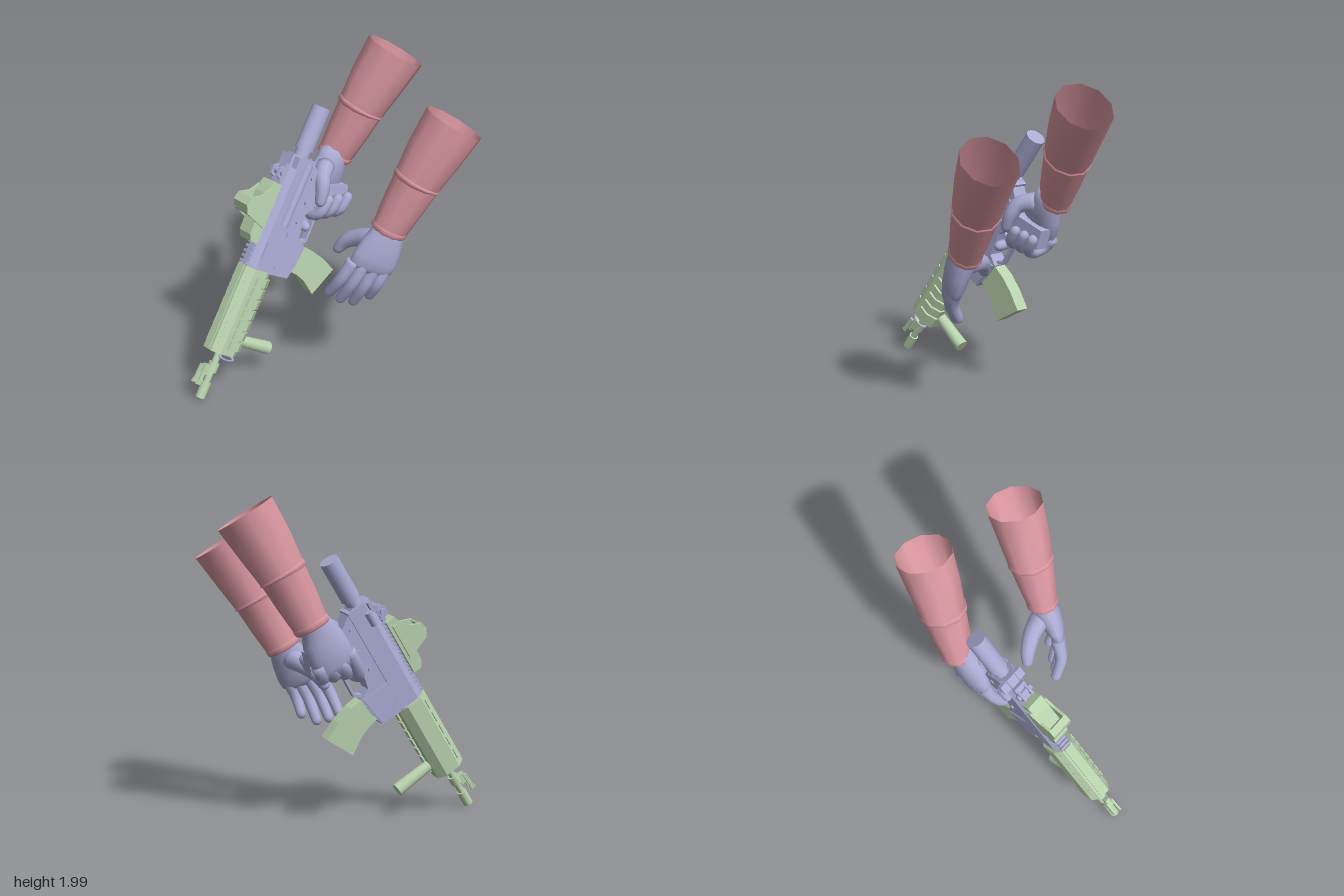
import * as THREE from 'three';

const mat = (name, color) => {
  const m = new THREE.MeshStandardMaterial({ color, side: THREE.DoubleSide });
  m.name = name;
  return m;
};

export function createModel() {
  const root = new THREE.Group();
  const pink = mat('sleevePink', 0xd9969f);
  const blue = mat('metalBlue', 0xababd4);
  const green = mat('softGreen', 0xb9d3ae);

  // Rifle frame: X runs to the rear, Y to the sights, Z to the visible side
  const rifle = new THREE.Group();
  rifle.name = 'rifle';
  rifle.applyMatrix4(new THREE.Matrix4().makeBasis(
    new THREE.Vector3(0.484, 0.837, -0.255).normalize(),
    new THREE.Vector3(-0.802, 0.541, 0.25).normalize(),
    new THREE.Vector3(0.347, 0.084, 0.933).normalize()).setPosition(-0.83, 0.03, 0.235));
  root.add(rifle);

  const add = (parent, name, geo, m) => {
    const mesh = new THREE.Mesh(geo, m);
    mesh.name = name;
    parent.add(mesh);
    return mesh;
  };
  const shape = pts => new THREE.Shape(pts.map(p => new THREE.Vector2(...p)));
  const box = (name, m, x0, x1, y0, y1, z0, z1) => add(rifle, name,
    new THREE.BoxGeometry(x1 - x0, y1 - y0, z1 - z0)
      .translate((x0 + x1) / 2, (y0 + y1) / 2, (z0 + z1) / 2), m);
  // Side profile given width across Z
  const plate = (name, m, pts, width, z = 0) => add(rifle, name,
    new THREE.ExtrudeGeometry(shape(pts), { depth: width, bevelEnabled: false })
      .translate(0, 0, z - width / 2), m);
  // Cross-section [z, y] drawn out along X
  const prism = (name, m, pts, x0, x1) => add(rifle, name,
    new THREE.ExtrudeGeometry(shape(pts.map(([z, y]) => [-z, y])), { depth: x1 - x0, bevelEnabled: false })
      .rotateY(Math.PI / 2).translate(x0, 0, 0), m);
  // Round bar along X
  const rod = (name, m, x0, x1, r, y = 0, z = 0, sides = 16) => add(rifle, name,
    new THREE.CylinderGeometry(r, r, x1 - x0, sides).rotateZ(Math.PI / 2)
      .translate((x0 + x1) / 2, y, z), m);
  // Round pin across the receiver
  const pin = (name, x, y, r, width) => add(rifle, name,
    new THREE.CylinderGeometry(r, r, width, 12).rotateX(Math.PI / 2).translate(x, y, 0), blue);

  // Loft through elliptical sections [x, y, z, ra, rb]; ra lies along hint
  function loft(secs, hint, sides, capped) {
    const pos = [], idx = [], n = secs.length;
    const c = secs.map(s => new THREE.Vector3(s[0], s[1], s[2]));
    secs.forEach((s, i) => {
      const t = c[Math.min(i + 1, n - 1)].clone().sub(c[Math.max(i - 1, 0)]).normalize();
      const a = hint.clone().addScaledVector(t, -hint.dot(t)).normalize();
      const b = t.clone().cross(a);
      for (let j = 0; j < sides; j++) {
        const q = j / sides * Math.PI * 2;
        const p = c[i].clone().addScaledVector(a, s[3] * Math.cos(q)).addScaledVector(b, s[4] * Math.sin(q));
        pos.push(p.x, p.y, p.z);
        const k = (j + 1) % sides, o = i * sides;
        if (i < n - 1) idx.push(o + j, o + k, o + sides + k, o + j, o + sides + k, o + sides + j);
      }
    });
    if (capped) {
      const e = n * sides, o = (n - 1) * sides;
      pos.push(...c[0].toArray(), ...c[n - 1].toArray());
      for (let j = 0; j < sides; j++) {
        const k = (j + 1) % sides;
        idx.push(e, k, j, e + 1, o + j, o + k);
      }
    }
    const g = new THREE.BufferGeometry();
    g.setAttribute('position', new THREE.Float32BufferAttribute(pos, 3));
    g.setIndex(idx);
    g.computeVertexNormals();
    return g;
  }
  // Tapered finger with a rounded tip
  function finger(parent, name, pts, r0, r1, hint) {
    const curve = new THREE.CatmullRomCurve3(pts.map(p => new THREE.Vector3(...p)));
    const secs = [];
    for (let i = 0; i <= 10; i++) {
      const r = r0 + (r1 - r0) * i / 10;
      secs.push([...curve.getPoint(i / 10).toArray(), r, r]);
    }
    const end = curve.getPoint(1), t = curve.getTangent(1);
    for (const q of [0.5, 0.95, 1.3]) {
      const p = end.clone().addScaledVector(t, r1 * Math.sin(q)), r = r1 * Math.cos(q);
      secs.push([p.x, p.y, p.z, r, r]);
    }
    add(parent, name, loft(secs, hint, 10, true), blue);
  }

  // Barrel and front sight
  rod('flashHider', green, -0.012, 0.09, 0.031);
  rod('barrel', green, 0.08, 0.32, 0.021);
  rod('gasBlock', green, 0.16, 0.22, 0.034);
  plate('frontSightBase', green, [[0.13, 0.02], [0.14, 0.075], [0.2, 0.065], [0.2, 0.02]], 0.035);
  for (const z of [-0.022, 0.022])
    plate('frontSightEar', green, [[0.07, 0.06], [0.07, 0.095], [0.1, 0.085], [0.19, 0.08], [0.19, 0.055]], 0.014, z);

  // Handguard with slots and ribbed rail cover
  prism('handguard', green, [[-0.04, 0.1], [0.04, 0.1], [0.078, 0.05], [0.078, -0.05],
    [0.04, -0.1], [-0.04, -0.1], [-0.078, -0.05], [-0.078, 0.05]], 0.295, 0.85);
  for (let i = 0; i < 5; i++) for (const s of [1, -1]) {
    const slot = box('handguardSlot', green, -0.035, 0.035, -0.012, 0.012, -0.004, 0.004);
    slot.position.set(0.38 + i * 0.1, 0.075, s * 0.061);
    slot.rotation.x = -s * 0.65;
  }
  for (let i = 0; i < 7; i++) {
    const x = 0.335 + i * 0.07;
    prism('railRib', green, [[0.05, 0.02], [0.093, 0.015], [0.093, -0.055], [0.05, -0.112], [0.005, -0.112]], x, x + 0.055);
  }
  box('handguardTopRail', green, 0.31, 0.85, 0.09, 0.108, -0.025, 0.025);
  const ring = add(rifle, 'slingLoop', new THREE.TorusGeometry(0.035, 0.007, 8, 20), blue);
  ring.rotation.y = Math.PI / 2 - 0.5;
  ring.scale.set(0.7, 1.5, 1);
  ring.position.set(0.28, -0.02, 0.06);

  // Foregrip
  add(rifle, 'foregrip', new THREE.CylinderGeometry(0.034, 0.042, 0.27, 16).translate(0.39, -0.22, 0), green);

  // Upper receiver and rear tube
  prism('upperReceiver', blue, [[-0.03, 0.085], [0.03, 0.085], [0.06, 0.04], [0.06, -0.08],
    [-0.06, -0.08], [-0.06, 0.04]], 0.84, 1.58);
  rod('receiverRidge', blue, 1.15, 1.55, 0.026, -0.035, 0.058);
  box('portCover', blue, 0.93, 1.03, 0.0, 0.035, 0.05, 0.07);
  rod('forwardKnob', blue, 1.43, 1.52, 0.026, 0.03, -0.075);
  for (let i = 0; i < 20; i++) {
    const x = 0.86 + i * 0.032;
    box('railTooth', blue, x, x + 0.017, 0.08, 0.105, -0.035, 0.035);
  }
  rod('tubeCollar', blue, 1.56, 1.65, 0.047);
  rod('bufferTube', blue, 1.625, 1.9, 0.059, 0, 0, 20);
  box('chargingHandle', blue, 1.5, 1.57, 0.05, 0.075, -0.085, 0.085);

  // Rear sight
  box('rearSightBase', blue, 1.39, 1.51, 0.09, 0.115, -0.04, 0.04);
  for (const z of [-0.03, 0.03])
    plate('rearSightEar', blue, [[1.4, 0.1], [1.42, 0.15], [1.47, 0.15], [1.5, 0.1]], 0.016, z);
  pin('rearSightKnob', 1.45, 0.12, 0.02, 0.11);

  // Lower receiver, trigger and grip
  plate('lowerReceiver', blue, [[0.84, -0.05], [0.85, -0.235], [0.95, -0.26], [1.07, -0.27], [1.1, -0.2],
    [1.25, -0.17], [1.35, -0.21], [1.5, -0.18], [1.59, -0.04]], 0.1);
  plate('magazineWell', blue, [[0.86, -0.08], [0.86, -0.23], [0.95, -0.25], [1.06, -0.26], [1.06, -0.08]], 0.118);
  plate('triggerGuard', blue, [[1.06, -0.25], [1.1, -0.295], [1.36, -0.285], [1.36, -0.27], [1.11, -0.278], [1.08, -0.24]], 0.04);
  plate('trigger', blue, [[1.24, -0.17], [1.21, -0.25], [1.225, -0.25], [1.27, -0.17]], 0.02);
  plate('pistolGrip', blue, [[1.31, -0.17], [1.44, -0.17], [1.52, -0.41], [1.4, -0.45]], 0.088);
  for (const [x, y, r] of [[0.9, -0.11, 0.014], [1.2, -0.13, 0.012], [1.33, -0.14, 0.018], [1.48, -0.11, 0.014]])
    pin('receiverPin', x, y, r, 0.125);
  box('boltRelease', blue, 1.09, 1.12, -0.15, -0.09, 0.04, 0.065);

  // Curved magazine
  plate('magazine', green, [[0.9, -0.2], [0.89, -0.3], [0.865, -0.38], [0.8, -0.49], [0.99, -0.575],
    [1.035, -0.46], [1.06, -0.35], [1.065, -0.2]], 0.085);

  // Holographic sight: body, side walls and roof
  plate('sightBody', green, [[1.0, 0.1], [1.0, 0.155], [1.04, 0.18], [1.14, 0.185], [1.3, 0.185], [1.38, 0.165], [1.38, 0.1]], 0.11);
  for (const z of [-0.062, 0.062])
    plate('sightWall', green, [[1.1, 0.12], [1.12, 0.18], [1.15, 0.27], [1.2, 0.302], [1.25, 0.288], [1.28, 0.22], [1.34, 0.17], [1.34, 0.12]], 0.016, z);
  plate('sightRoof', green, [[1.145, 0.265], [1.2, 0.302], [1.25, 0.288], [1.245, 0.274], [1.2, 0.286], [1.155, 0.255]], 0.124);

  // Right hand wrapped round the grip
  const rightHand = new THREE.Group();
  rightHand.name = 'rightHand';
  rifle.add(rightHand);
  const up = new THREE.Vector3(0, 1, 0);
  add(rightHand, 'palm', loft([[1.7, -0.28, -0.05, 0.09, 0.08], [1.63, -0.28, -0.05, 0.1, 0.085], [1.55, -0.29, -0.06, 0.13, 0.085],
    [1.46, -0.3, -0.08, 0.14, 0.07], [1.38, -0.3, -0.09, 0.13, 0.055], [1.33, -0.3, -0.09, 0.1, 0.035]], up, 16, true), blue);
  for (let i = 0; i < 3; i++) {
    const y = -0.275 - i * 0.068, x = i * 0.03;
    finger(rightHand, 'gripFinger', [[1.38 + x, y, -0.1], [1.3 + x, y, -0.085], [1.27 + x, y, -0.01],
      [1.31 + x, y, 0.06], [1.39 + x, y, 0.075]], 0.042, 0.033, up);
  }
  finger(rightHand, 'triggerFinger', [[1.4, -0.2, -0.1], [1.3, -0.2, -0.09], [1.21, -0.21, -0.05], [1.19, -0.215, 0.04]], 0.042, 0.032, up);
  finger(rightHand, 'thumb', [[1.58, -0.23, -0.02], [1.52, -0.18, 0.045], [1.45, -0.19, 0.08], [1.37, -0.21, 0.085]], 0.06, 0.035, up);

  // Left hand, open with fingers pointing down
  const leftHand = new THREE.Group();
  leftHand.name = 'leftHand';
  root.add(leftHand);
  const across = new THREE.Vector3(0.93, -0.28, 0.2);
  add(leftHand, 'palm', loft([[0.35, 1.08, 0.31, 0.09, 0.08], [0.325, 1.02, 0.315, 0.1, 0.083], [0.285, 0.95, 0.33, 0.125, 0.078],
    [0.24, 0.865, 0.338, 0.14, 0.067], [0.212, 0.815, 0.34, 0.135, 0.052], [0.2, 0.785, 0.34, 0.11, 0.032]], across, 16, true), blue);
  const fingers = [ // knuckle, tip
    [[0.115, 0.86, 0.31], [-0.01, 0.625, 0.235]],
    [[0.175, 0.84, 0.335], [0.05, 0.585, 0.265]],
    [[0.24, 0.82, 0.35], [0.125, 0.565, 0.285]],
    [[0.3, 0.81, 0.355], [0.22, 0.605, 0.31]]];
  for (const [a, b] of fingers) {
    const mid = [0, 1, 2].map(k => (a[k] + b[k]) / 2 + [-0.01, 0, 0.025][k]);
    finger(leftHand, 'finger', [a, mid, b], 0.043, 0.032, across);
  }
  finger(leftHand, 'thumb', [[0.28, 0.96, 0.29], [0.21, 0.935, 0.18], [0.135, 0.885, 0.11], [0.095, 0.83, 0.085]], 0.068, 0.036, up);

  // Sleeves: upper part, seam, forearm and cuff, repeated for both arms
  const zAxis = new THREE.Vector3(0, 0, 1);
  for (const [name, offset] of [['leftArm', [0, 0, 0]], ['rightArm', [-0.135, 0.215, -0.638]]]) {
    const arm = new THREE.Group();
    arm.name = name;
    arm.position.set(...offset);
    root.add(arm);
    add(arm, 'upperSleeve', loft([[0.71, 1.685, 0.322, 0.17, 0.19], [0.6, 1.51, 0.32, 0.157, 0.174],
      [0.5, 1.34, 0.316, 0.139, 0.149]], zAxis, 10, false), pink);
    add(arm, 'sleeveSeam', loft([[0.505, 1.349, 0.316, 0.139, 0.149], [0.5, 1.341, 0.316, 0.146, 0.155],
      [0.495, 1.333, 0.316, 0.144, 0.154], [0.491, 1.325, 0.316, 0.134, 0.143]], zAxis, 10, false), pink);
    add(arm, 'forearmSleeve', loft([[0.5, 1.34, 0.316, 0.137, 0.146], [0.42, 1.195, 0.314, 0.118, 0.133],
      [0.327, 1.025, 0.311, 0.092, 0.11]], zAxis, 10, false), pink);
    add(arm, 'cuff', loft([[0.343, 1.055, 0.311, 0.094, 0.112], [0.338, 1.046, 0.311, 0.101, 0.118],
      [0.327, 1.025, 0.311, 0.098, 0.114], [0.322, 1.016, 0.311, 0.086, 0.1]], zAxis, 10, false), pink);
  }
  return root;
}
